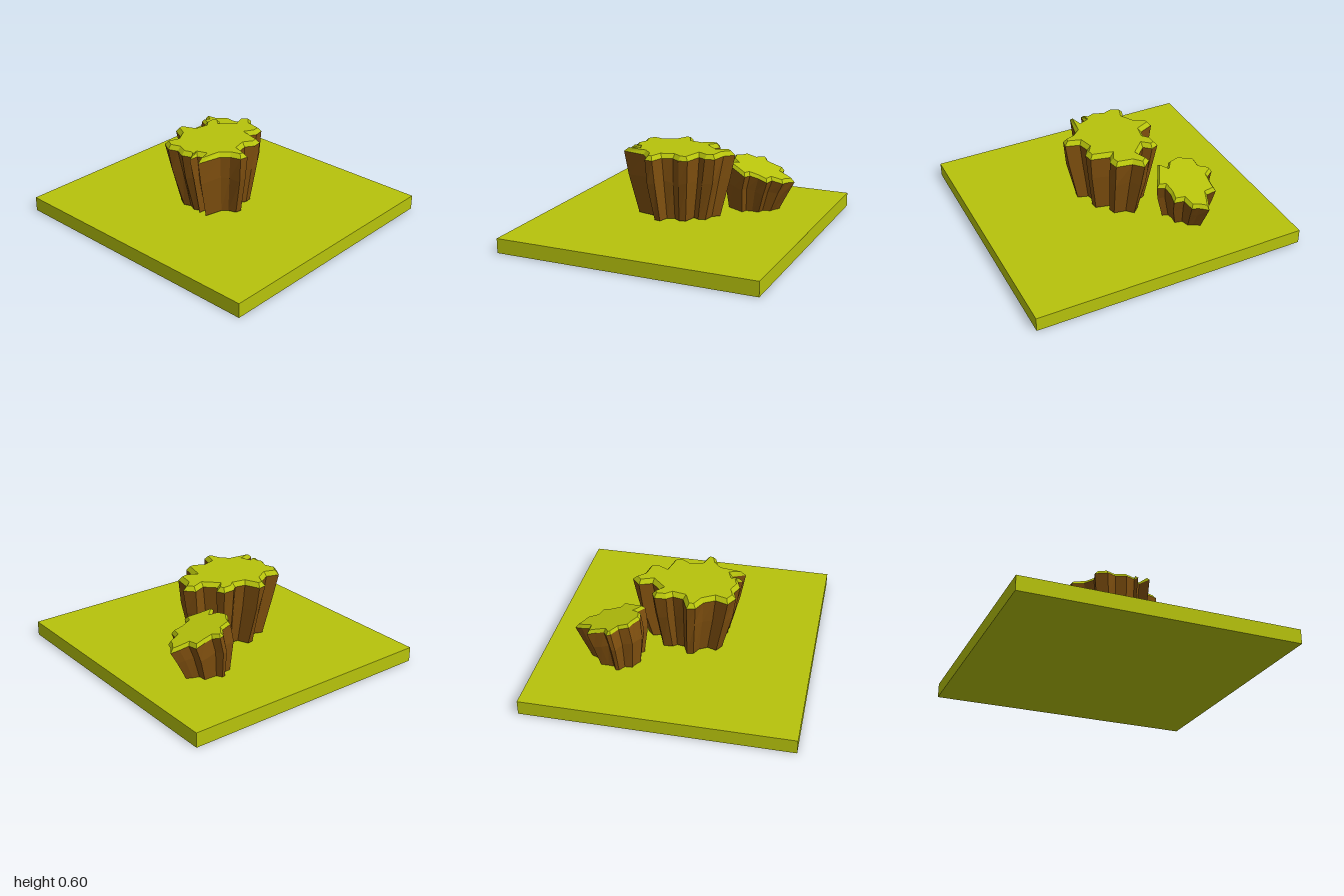
import * as THREE from 'three';

const grass = new THREE.MeshStandardMaterial({ name: 'grass green', color: 0xb7c30c });
const earth = new THREE.MeshStandardMaterial({ name: 'earth brown', color: 0x80500f });

// Rock rim outlines as x, z pairs, counter-clockwise from above
const largeOutline = [
  [-0.41, 0.14], [-0.235, 0.18], [-0.19, 0.23], [-0.165, 0.305], [-0.105, 0.315], [-0.075, 0.215],
  [0, 0.195], [0.06, 0.235], [0.125, 0.225], [0.155, 0.09], [0.21, 0.12], [0.28, 0.105],
  [0.30, -0.01], [0.365, -0.07], [0.305, -0.135], [0.215, -0.10], [0.145, -0.17], [0.19, -0.22],
  [0.165, -0.275], [0.08, -0.27], [0.04, -0.235], [-0.035, -0.25], [-0.08, -0.355], [-0.14, -0.345],
  [-0.18, -0.265], [-0.255, -0.22], [-0.345, -0.25], [-0.39, -0.17], [-0.365, -0.10], [-0.395, -0.03],
  [-0.37, 0.04], [-0.405, 0.055], [-0.335, 0.06], [-0.32, 0.10],
];
const smallOutline = [
  [0.41, -0.145], [0.43, -0.20], [0.49, -0.21], [0.56, -0.20], [0.575, -0.27], [0.65, -0.29],
  [0.665, -0.335], [0.705, -0.395], [0.65, -0.42], [0.59, -0.44], [0.585, -0.515], [0.515, -0.515],
  [0.46, -0.52], [0.43, -0.57], [0.40, -0.565], [0.36, -0.505], [0.29, -0.50], [0.27, -0.45],
  [0.235, -0.40], [0.25, -0.32], [0.29, -0.29], [0.235, -0.24], [0.33, -0.19],
];

// Move every outline corner inward by a roughly even distance
function inset(outline, distance) {
  const n = outline.length;
  const normal = (a, b) => new THREE.Vector2(a[1] - b[1], b[0] - a[0]).normalize();
  return outline.map((p, i) => {
    const a = normal(outline[(i + n - 1) % n], p);
    const b = normal(p, outline[(i + 1) % n]);
    const m = a.clone().add(b).normalize();
    const d = distance / Math.max(m.dot(a), 0.65);
    return [p[0] - m.x * d, p[1] - m.y * d];
  });
}

function flatGeometry(triangles) {
  const geometry = new THREE.BufferGeometry().setFromPoints(triangles);
  geometry.computeVertexNormals();
  return geometry;
}

// Flat quads joining a lower ring to an upper ring
function band(lower, upper) {
  const out = [];
  lower.forEach((a, i) => {
    const j = (i + 1) % lower.length;
    out.push(a, lower[j], upper[j], a, upper[j], upper[i]);
  });
  return out;
}

function cap(ring, down = false) {
  const flat = ring.map((p) => new THREE.Vector2(p.x, -p.z));
  return THREE.ShapeUtils.triangulateShape(flat, [])
    .flatMap((f) => (down ? [f[2], f[1], f[0]] : f).map((i) => ring[i]));
}

// Ridged earth wall with a bevelled grass lid; topY gives the lid plane
function makeRock(name, outline, o) {
  const [cx, cz] = o.center;
  const ring = (points, y) => points.map(([x, z]) => new THREE.Vector3(x, y(x, z), z));
  const lip = ring(outline, (x, z) => o.topY(x, z) - o.lip);
  const top = ring(inset(outline, o.bevel), o.topY);

  // Wall rings shrink and drift toward the foot, with uneven ridges
  const wallRing = (t, [mx, mz], scale, rough) => lip.map((p, i) => {
    const s = scale + rough * Math.sin(i * 2.4);
    return new THREE.Vector3(
      mx + (p.x - cx) * s,
      THREE.MathUtils.lerp(o.footY, p.y, t + rough * Math.sin(i * 1.7)),
      mz + (p.z - cz) * s);
  });
  const middle = wallRing(0.62, o.middle, o.middleScale, 0.025);
  const foot = wallRing(0, o.foot, o.footScale, 0).map((p) => p.setY(o.footY));

  const group = new THREE.Group();
  group.name = name;
  const wall = new THREE.Mesh(
    flatGeometry([...band(foot, middle), ...band(middle, lip), ...cap(foot, true)]), earth);
  wall.name = 'earthWall';
  const lid = new THREE.Mesh(flatGeometry([...band(lip, top), ...cap(top)]), grass);
  lid.name = 'grassLid';
  group.add(wall, lid);
  return group;
}

export function createModel() {
  const model = new THREE.Group();
  model.name = 'grassyRocks';

  // Ground slab
  const slab = new THREE.Mesh(new THREE.BoxGeometry(1.89, 0.105, 2), grass);
  slab.name = 'groundSlab';
  slab.position.y = 0.0525;
  model.add(slab);

  // Large level rock
  model.add(makeRock('largeRock', largeOutline, {
    center: [-0.02, -0.02], middle: [-0.02, -0.015], foot: [-0.02, -0.01],
    middleScale: 0.92, footScale: 0.74, footY: 0.114,
    lip: 0.03, bevel: 0.024, topY: () => 0.6,
  }));

  // Small leaning rock
  model.add(makeRock('smallRock', smallOutline, {
    center: [0.465, -0.37], middle: [0.435, -0.38], foot: [0.41, -0.385],
    middleScale: 0.95, footScale: 0.75, footY: 0.106,
    lip: 0.024, bevel: 0.016,
    topY: (x, z) => 0.35 - 0.3 * (x - 0.7) - 0.08 * (z + 0.395),
  }));

  return model;
}
